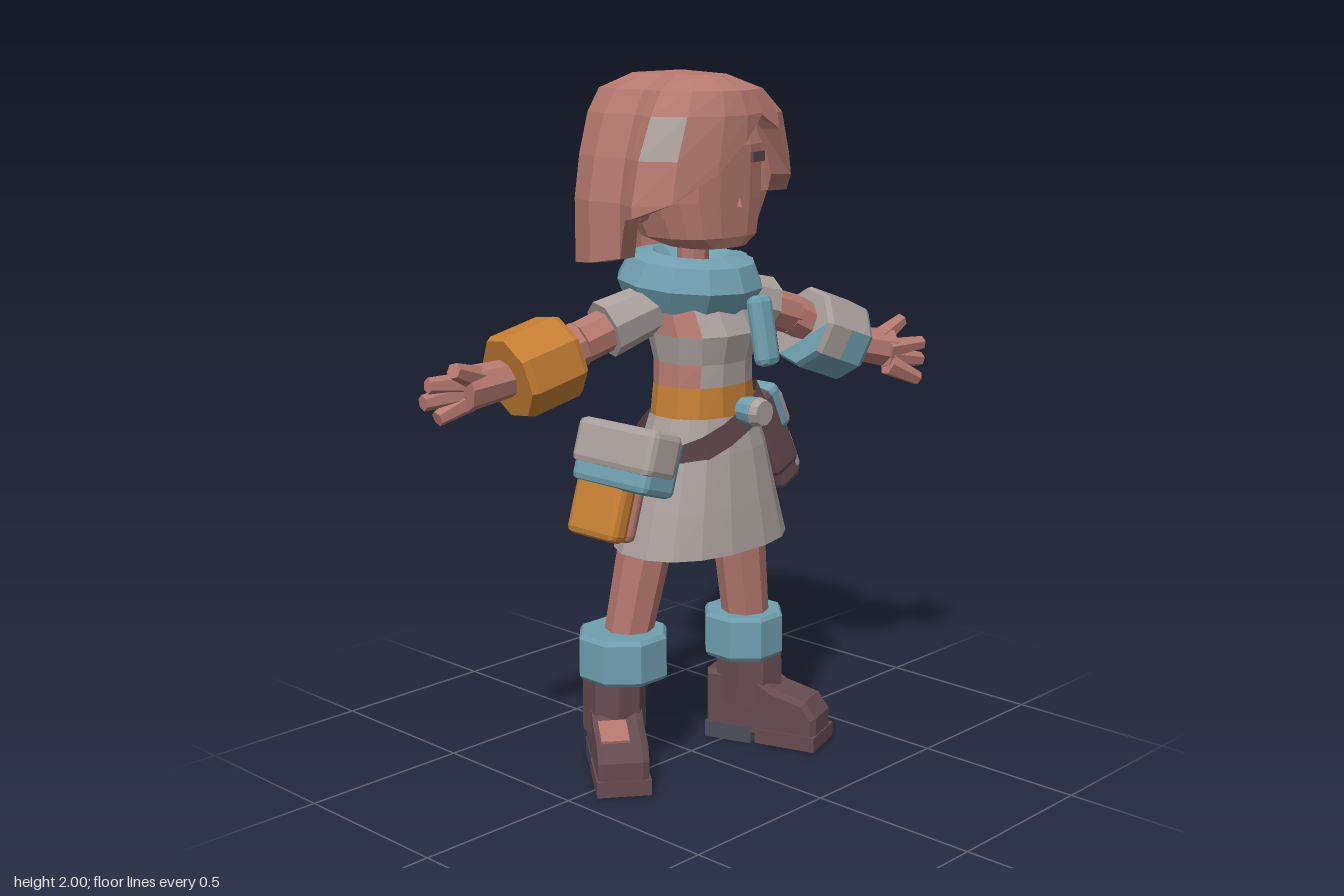
import * as THREE from 'three';
import { RoundedBoxGeometry } from 'three/addons/geometries/RoundedBoxGeometry.js';

const colour = (name, hex, side = THREE.FrontSide) => {
  const m = new THREE.MeshStandardMaterial({ color: hex, side });
  m.name = name;
  return m;
};

export function createModel() {
  const model = new THREE.Group();
  model.name = 'adventurer';
  const skin = colour('rosySkin', 0xb5796f, THREE.DoubleSide);
  const grey = colour('warmGrey', 0xaaa09c, THREE.DoubleSide);
  const teal = colour('teal', 0x6fa0b0);
  const orange = colour('orange', 0xc57f33);
  const brown = colour('darkBrown', 0x664c50, THREE.DoubleSide);
  const slate = colour('slate', 0x4b4e5a);
  const V = (p) => new THREE.Vector3(...p);

  // Adds a faceted mesh
  function add(name, geo, mat, pos = [0, 0, 0], rot = [0, 0, 0], parent = model) {
    const g = geo.index ? geo.toNonIndexed() : geo;
    g.computeVertexNormals();
    const mesh = new THREE.Mesh(g, mat);
    mesh.name = name;
    mesh.position.set(...pos);
    mesh.rotation.set(...rot);
    parent.add(mesh);
    return mesh;
  }

  // Skins rows of points (each row a closed loop); pick(i, j) gives a material index
  function skinRows(rows, { cap = true, pick = () => 0 } = {}) {
    const pos = [], geo = new THREE.BufferGeometry(), n = rows[0].length;
    const face = (m, ...pts) => {
      geo.addGroup(pos.length / 3, pts.length, m);
      pts.forEach((p) => pos.push(...p));
    };
    for (let j = 0; j < rows.length - 1; j++) {
      for (let i = 0; i < n; i++) {
        const k = (i + 1) % n, a = rows[j][i], b = rows[j][k], c = rows[j + 1][i], d = rows[j + 1][k];
        face(pick(i, j), a, c, b, b, c, d);
      }
    }
    if (cap) {
      const lo = rows[0], hi = rows[rows.length - 1];
      for (let i = 1; i < n - 1; i++) {
        face(pick(i, 0), lo[0], lo[i], lo[i + 1]);
        face(pick(i, rows.length - 2), hi[0], hi[i + 1], hi[i]);
      }
    }
    geo.setAttribute('position', new THREE.Float32BufferAttribute(pos, 3));
    return geo;
  }

  // Rounded-square rings: [y, centreX, centreZ, radiusX, radiusZ]
  function loft(rings, n, power = 1, options) {
    const bend = (v) => Math.sign(v) * Math.abs(v) ** power;
    return skinRows(rings.map(([y, cx, cz, rx, rz]) => Array.from({ length: n }, (_, i) => {
      const a = ((i + 0.5) / n) * Math.PI * 2;
      return [cx + rx * bend(Math.cos(a)), y, cz + rz * bend(Math.sin(a))];
    })), options);
  }

  // Turns a shape built along y so that it runs from a to b
  function along(mesh, a, b) {
    const A = V(a), B = V(b);
    mesh.position.copy(A).add(B).multiplyScalar(0.5);
    mesh.quaternion.setFromUnitVectors(new THREE.Vector3(0, 1, 0), B.sub(A).normalize());
    return mesh;
  }
  const limb = (name, a, b, r0, r1, mat, sides = 8) =>
    along(add(name, new THREE.CylinderGeometry(r1, r0, V(a).distanceTo(V(b)), sides), mat), a, b);

  // Chamfered band used for wrist and ankle cuffs
  const band = (r, h, options) => loft([[-h / 2, 0, 0, r * 0.93, r * 0.93], [-h * 0.41, 0, 0, r, r],
    [0, 0, 0, r, r], [h * 0.41, 0, 0, r, r], [h / 2, 0, 0, r * 0.93, r * 0.93]], 8, 1, options);

  // Head, ears and face
  add('head', loft([[1.52, 0.06, 0, 0.095, 0.1], [1.55, 0.03, 0, 0.135, 0.16], [1.65, 0, 0, 0.167, 0.19],
    [1.8, 0, 0, 0.17, 0.19], [1.92, -0.02, 0, 0.15, 0.15]], 16, 0.7), skin);
  for (const s of [-1, 1]) {
    add('ear', new RoundedBoxGeometry(0.06, 0.11, 0.06, 1, 0.02), skin, [0.0, 1.65, s * 0.215]);
    add('closedEye', new THREE.BoxGeometry(0.009, 0.028, 0.075), brown, [0.162, 1.765, s * 0.096], [0, -s * 0.28, 0]);
  }
  add('nose', new THREE.ConeGeometry(0.01, 0.025, 4), skin, [0.168, 1.645, -0.015]);
  limb('neck', [0, 1.38, 0], [0.01, 1.56, 0], 0.045, 0.045, skin);

  // Hair: outline columns [x, z, lowest y], swept fringe in front and long at the back
  const outline = [[0.235, -0.05, 1.89], [0.245, 0.05, 1.815], [0.235, 0.15, 1.735], [0.19, 0.275, 1.66], [0.1, 0.335, 1.62],
    [0.04, 0.3, 1.61], [-0.01, 0.27, 1.5], [-0.12, 0.28, 1.48], [-0.22, 0.24, 1.47], [-0.28, 0.1, 1.47],
    [-0.28, -0.08, 1.48], [-0.23, -0.21, 1.49], [-0.12, -0.26, 1.5], [-0.01, -0.265, 1.51], [0.04, -0.275, 1.65],
    [0.12, -0.27, 1.66], [0.18, -0.225, 1.71], [0.2, -0.17, 1.84], [0.18, -0.08, 1.9]];
  const shape = [[1.45, 1, 1], [1.65, 1, 1], [1.77, 1, 0.92], [1.885, 1, 0.78], [1.95, 0.92, 0.58], [1.99, 0.6, 0.27], [2.0, 0.03, 0.02]];
  const widthAt = (y) => {
    const j = Math.max(1, shape.findIndex((s) => s[0] >= y));
    const [p, q] = [shape[j - 1], shape[j]], t = (y - p[0]) / (q[0] - p[0]);
    return [p[1] + (q[1] - p[1]) * t, p[2] + (q[2] - p[2]) * t];
  };
  const hairRow = (level, inset = 1) => outline.map(([x, z, low]) => {
    const y = Math.max(low, level), [sx, sz] = widthAt(y);
    return [x * sx * inset, y, z * sz * inset + (y > 1.9 ? (y - 1.9) * 0.4 : 0)];
  });
  const hairRows = [hairRow(0, 0.8), hairRow(0), ...shape.slice(1).map((s) => hairRow(s[0]))];
  add('hair', skinRows(hairRows, { cap: false, pick: (i, j) => (i === 3 && j === 3 ? 1 : 0) }), [skin, grey]);

  // Torso: grey top, orange waistband in front and a bare flank
  add('torso', loft([[1.03, 0.045, 0, 0.128, 0.158], [1.135, 0.045, 0, 0.122, 0.145], [1.2, 0.045, 0, 0.125, 0.14],
    [1.28, 0.045, 0, 0.145, 0.155], [1.36, 0.02, 0, 0.125, 0.15], [1.42, 0, 0, 0.07, 0.09]], 12, 0.85, {
    pick: (i, j) => (j === 0 && (i < 4 || i > 7) ? 2 : (j === 1 && i > 0 && i < 4) || (j === 3 && i > 0 && i < 3) ? 1 : 0),
  }), [grey, skin, orange]);
  add('skirt', loft([[0.67, 0.043, 0.005, 0.19, 0.28], [0.8, 0.045, 0.005, 0.172, 0.24], [0.95, 0.045, 0, 0.15, 0.195],
    [1.05, 0.045, 0, 0.129, 0.16]], 16, 0.85, { cap: false }), grey);

  // Scarf with a front and a back tail
  const scarf = add('scarf', new THREE.TorusGeometry(0.13, 0.078, 7, 12).rotateX(Math.PI / 2), teal, [-0.015, 1.415, -0.01], [0, 0, -0.1]);
  scarf.scale.set(1, 1.07, 1.03);
  add('scarfFrontTail', new RoundedBoxGeometry(0.05, 0.2, 0.075, 1, 0.02), teal, [0.205, 1.285, -0.075], [0, 0, 0.2]);
  add('scarfBackTail', new RoundedBoxGeometry(0.135, 0.1, 0.24, 1, 0.025), teal, [-0.14, 1.4, -0.23], [0.1, 0.1, 0]);

  // Belt and buckle
  add('belt', loft([[-0.035, 0, 0, 0.155, 0.215], [0.035, 0, 0, 0.15, 0.205]], 16, 0.9, { cap: false }), brown, [0.045, 1.025, 0.015], [0.42, 0, 0]);
  limb('buckleRim', [0.195, 1.07, -0.005], [0.25, 1.07, -0.005], 0.036, 0.043, teal, 10);
  limb('buckleFace', [0.245, 1.07, -0.005], [0.275, 1.07, -0.005], 0.043, 0.036, grey, 10);

  // Hip bags: a wide pouch with a tube below, and a tall satchel
  function bag(name, pos, tilt, pieces) {
    const g = new THREE.Group();
    g.name = name;
    g.position.set(...pos);
    g.rotation.x = tilt;
    for (const [part, mat, size, at] of pieces) add(part, new RoundedBoxGeometry(...size, 1, 0.02), mat, at, [0, 0, 0], g);
    model.add(g);
  }
  bag('hipPouch', [0.025, 0.955, 0.28], -0.3, [
    ['pouchBody', teal, [0.29, 0.165, 0.13], [0, -0.01, 0]],
    ['pouchFlap', grey, [0.305, 0.13, 0.12], [0, 0.022, 0.012]],
    ['orangeTube', orange, [0.19, 0.18, 0.065], [-0.04, -0.15, 0.02]],
    ['tubeBacking', skin, [0.185, 0.17, 0.05], [-0.04, -0.15, -0.025]]]);
  bag('hipSatchel', [0.0, 0.935, -0.265], 0.45, [
    ['satchelBody', brown, [0.22, 0.27, 0.11], [0, 0.02, 0.005]],
    ['satchelEnd', brown, [0.2, 0.1, 0.1], [0, -0.12, 0]],
    ['satchelTrim', teal, [0.228, 0.15, 0.05], [0, 0.085, -0.035]],
    ['satchelFlap', grey, [0.205, 0.125, 0.045], [0.01, 0.072, -0.046]],
    ['satchelPocket', grey, [0.2, 0.15, 0.045], [0, -0.075, -0.038]]]);

  // Arms: sleeve, arm, wrist cuff, palm and fingers
  const arms = [
    { shoulder: [-0.02, 1.36, 0.1], sleeve: [-0.065, 1.3, 0.28], elbow: [-0.08, 1.27, 0.36], wrist: [-0.14, 1.195, 0.55],
      cuff: [[-0.11, 1.24, 0.4], [-0.135, 1.195, 0.57]], palm: [-0.16, 1.18, 0.71],
      tips: [[-0.12, 1.245, 0.77], [-0.19, 1.2, 0.8], [-0.195, 1.155, 0.815], [-0.18, 1.11, 0.78]], mats: [orange, orange] },
    { shoulder: [0.0, 1.37, -0.1], sleeve: [0.03, 1.32, -0.28], elbow: [0.045, 1.28, -0.38], wrist: [0.11, 1.18, -0.56],
      cuff: [[0.06, 1.24, -0.42], [0.09, 1.18, -0.58]], palm: [0.16, 1.15, -0.7],
      tips: [[0.15, 1.225, -0.78], [0.215, 1.16, -0.8], [0.2, 1.105, -0.815], [0.23, 1.055, -0.765]], mats: [grey, teal] },
  ];
  for (const a of arms) {
    limb('sleeve', a.shoulder, a.sleeve, 0.07, 0.082, grey);
    limb('upperArm', a.shoulder, a.elbow, 0.06, 0.06, skin);
    limb('forearm', a.elbow, a.wrist, 0.062, 0.055, skin);
    const geo = band(0.124, 0.185, { pick: (i, j) => (i === 5 || i === 6 || (i === 7 && j > 1) || (i === 0 && j > 2) ? 1 : 0) });
    along(add('wristCuff', geo, a.mats), ...a.cuff);
    limb('palm', a.wrist, a.palm, 0.052, 0.062, skin);
    const root = a.palm.map((v, k) => v - (k === 2 ? Math.sign(v) * 0.035 : 0));
    for (const tip of a.tips) {
      const start = root.map((v, k) => (k === 2 ? v : v + (tip[k] - v) * 0.45));
      limb('finger', start, tip, 0.034, 0.022, skin, 6);
    }
  }

  // Boot profile from heel to toe
  const profile = new THREE.Shape([[-0.1, 0.035], [-0.1, 0.2], [0.03, 0.21], [0.1, 0.165], [0.2, 0.14], [0.23, 0.1], [0.23, 0.035]]
    .map(([x, y]) => new THREE.Vector2(x, y)));
  const footGeo = () => new THREE.ExtrudeGeometry(profile, { depth: 0.105, bevelSize: 0.012, bevelThickness: 0.02, bevelSegments: 1 }).translate(0, 0, -0.0525);

  // Legs, ankle cuffs and turned-out boots
  const legs = [
    { hip: [-0.01, 0.85, 0.13], ankle: [-0.075, 0.35, 0.2], cuff: [-0.07, 0.35, 0.212], r: 0.135, foot: [-0.088, 0, 0.232], turn: -0.66 },
    { hip: [0.045, 0.85, -0.13], ankle: [0.035, 0.34, -0.205], cuff: [0.025, 0.34, -0.2], r: 0.123, foot: [0.028, 0, -0.222], turn: 0.32 },
  ];
  for (const l of legs) {
    limb('leg', l.ankle, l.hip, 0.068, 0.084, skin);
    add('ankleCuff', band(l.r, 0.135), teal, l.cuff);
    const boot = new THREE.Group();
    boot.name = 'boot';
    boot.position.set(...l.foot);
    boot.rotation.y = l.turn;
    model.add(boot);
    add('bootShaft', new THREE.CylinderGeometry(0.09, 0.092, 0.2, 8).scale(1.18, 1, 1), brown, [0, 0.22, 0], [0, 0, 0], boot);
    add('bootFoot', footGeo(), brown, [0, 0, 0], [0, 0, 0], boot);
    add('toeSole', new THREE.BoxGeometry(0.19, 0.045, 0.155), brown, [0.15, 0.0285, 0], [0, 0, 0], boot);
    add('heelSole', new THREE.BoxGeometry(0.15, 0.05, 0.15), slate, [-0.035, 0.025, 0], [0, 0, 0], boot);
    if (l.turn < 0) add('instepPatch', new THREE.BoxGeometry(0.1, 0.009, 0.08), skin, [0.158, 0.1665, 0.02], [0, 0, -0.25], boot);
  }
  return model;
}
